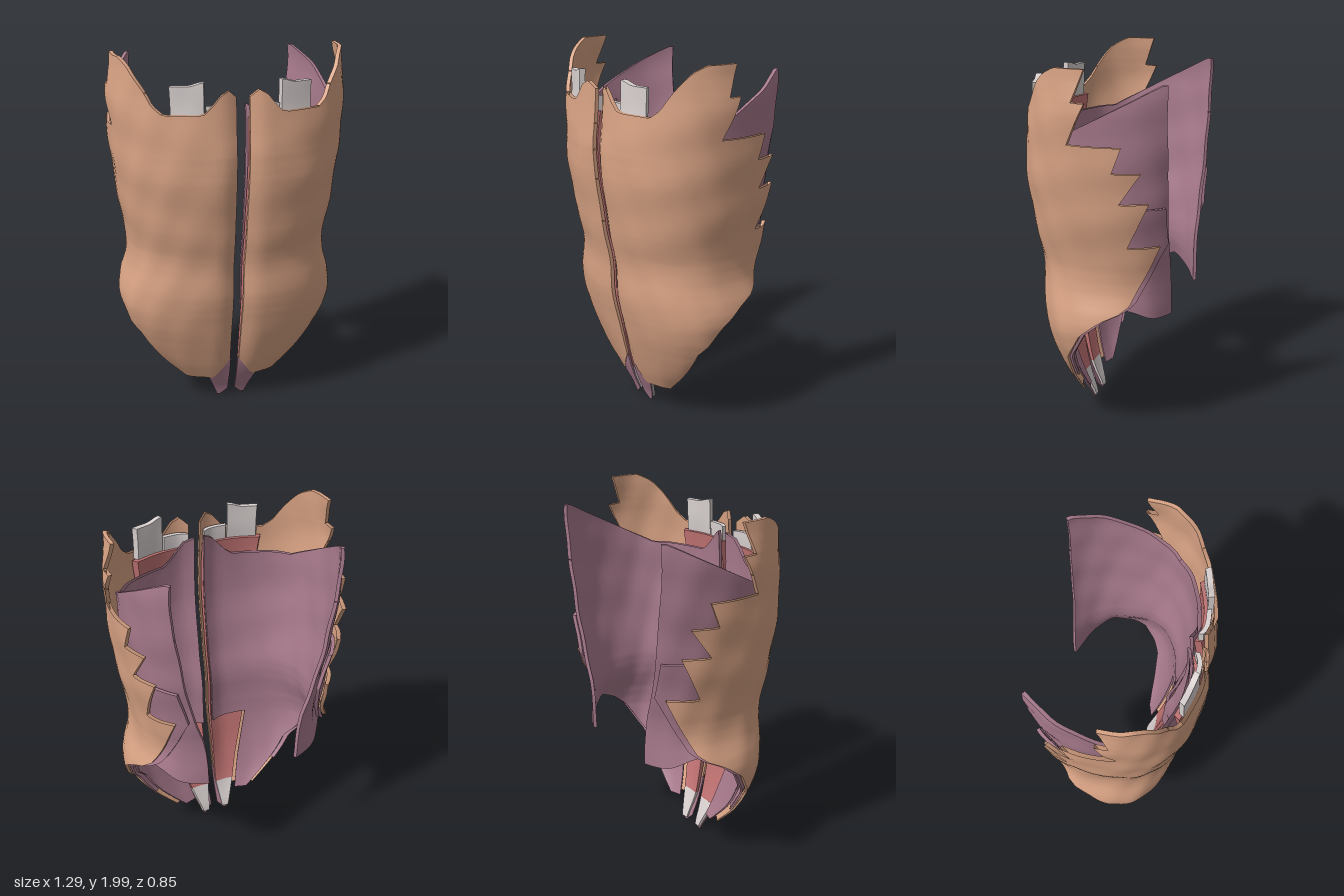
import * as THREE from 'three';
import { toCreasedNormals } from 'three/addons/utils/BufferGeometryUtils.js';

const POWER = 0.83, MID = -0.05; // section roundness and depth of the widest point
const step = THREE.MathUtils.smoothstep;
const mix = THREE.MathUtils.lerp;

// piecewise-linear profile lookup
function look(table, y) {
  if (y <= table[0][0]) return table[0][1];
  for (let i = 1; i < table.length; i++) {
    const [a, va] = table[i - 1], [b, vb] = table[i];
    if (y <= b) return mix(va, vb, (y - a) / (b - a));
  }
  return table[table.length - 1][1];
}
const soft = (table, y) => (look(table, y - 0.06) + look(table, y) + look(table, y + 0.06)) / 3;

// torso profile by height: front depth and half width
const FRONT = [[0, 0.1], [0.3, 0.23], [0.65, 0.33], [0.9, 0.34], [1.1, 0.385], [1.45, 0.433], [1.7, 0.41], [2, 0.395]];
const WIDTH = [[0, 0.2], [0.3, 0.45], [0.45, 0.56], [0.68, 0.61], [0.9, 0.535], [1.3, 0.605], [1.7, 0.638], [1.85, 0.638], [2, 0.61]];

// horizontal section of a layer, inset by f at the front and d at the side
function section(y, f, d) {
  const fade = Math.min(1, 0.35 + 0.93 * y);
  return {
    a: soft(FRONT, y) - MID - f * fade,
    w: soft(WIDTH, y) - d * fade,
    b: mix(0.375, 0.55, step(y, 0.6, 2)) + 0.055 - d,
  };
}
// section angle at which a given x (front side) or z is reached
const atX = (s, x) => Math.asin(Math.min(1, x / s.w) ** (1 / POWER));
function atZ(s, z) {
  const k = z - MID, r = Math.min(1, Math.abs(k) / (k > 0 ? s.a : s.b)) ** (1 / POWER);
  return Math.acos(k > 0 ? r : -r);
}

// curved sheet with thickness: rows by height, columns by angle, trimmed to its edges
function sheet({ y0, y1, front, side, thick, start, end, cols = 40, keys = [], warp = () => 0 }, sign) {
  const levels = [y1, ...keys];
  for (let y = y0; y < y1; y += 0.02) levels.push(y);
  const rows = [...new Set(levels)].sort((a, b) => a - b).map(y => {
    const s = section(y, front, side), t0 = start(s, y);
    return { y, t0, t1: Math.max(t0 + 0.002, end(s, y)) };
  });
  const low = Math.min(...rows.map(r => r.t0)), high = Math.max(...rows.map(r => r.t1));
  const angle = (r, j) => j === 0 ? r.t0 : j === cols ? r.t1 : Math.min(r.t1, Math.max(r.t0, mix(low, high, j / cols)));
  const pos = [], idx = [], n = cols + 1, layer = rows.length * n;
  for (const h of [0, thick]) {
    for (const r of rows) {
      const y = r.y, s = section(y, front + h, side + h);
      for (let j = 0; j < n; j++) {
        const t = angle(r, j), c = Math.cos(t);
        const ripple = 1 + 0.009 * Math.sin(y * 17 + t * 6) * Math.sin(y * 5 - t * 9);
        const x = s.w * Math.sin(t) ** POWER * ripple;
        let z = MID + (c > 0 ? s.a : -s.b) * Math.abs(c) ** POWER * ripple;
        z -= 0.035 * Math.exp(-(((x - 0.02) / 0.05) ** 2)) * step(y, 0.1, 0.5);
        pos.push(sign * x, y + warp(x, y, z), z);
      }
    }
  }
  const tri = (a, b, c) => sign > 0 ? idx.push(a, b, c) : idx.push(a, c, b);
  const quad = (a, b, c, e) => { tri(a, b, c); tri(a, c, e); };
  for (let i = 0; i < rows.length - 1; i++) {
    const l = i * n, r = l + cols, jump = rows[i + 1].y - rows[i].y < 0.006;
    for (let j = 0; j < cols; j++) { // outer and inner faces, left open where an edge jumps
      const flat = k => angle(rows[k], j + 1) - angle(rows[k], j) < 1e-6;
      if (flat(i) && flat(i + 1) || jump && (flat(i) || flat(i + 1))) continue;
      const a = l + j;
      quad(a, a + 1, a + n + 1, a + n);
      quad(a + layer, a + n + layer, a + n + 1 + layer, a + 1 + layer);
    }
    if (jump) continue;
    quad(l, l + n, l + n + layer, l + layer); // side rims
    quad(r, r + layer, r + n + layer, r + n);
  }
  for (let j = 0; j < cols; j++) { // bottom and top rims
    const t = layer - n + j;
    quad(j, j + layer, j + 1 + layer, j + 1);
    quad(t, t + 1, t + 1 + layer, t + layer);
  }
  const g = new THREE.BufferGeometry();
  g.setAttribute('position', new THREE.Float32BufferAttribute(pos, 3));
  g.setIndex(idx);
  return toCreasedNormals(g, 0.8);
}

// lower flank edge and rib teeth, as height and z
const FLANK = [[0.15, 0.1], [0.45, 0.1], [0.62, 0], [0.7, -0.1], [0.75, -0.2], [0.79, -0.25], [1.1, -0.39]];
const TIPS = [[1.1, -0.38], [1.34, -0.35], [1.5, -0.32], [1.63, -0.23], [1.84, -0.05], [2, -0.04]];
// front edge of the outer muscle, as height and x
const OUTER_FRONT = [[0.15, 0.11], [0.28, 0.025], [1.74, 0.035], [1.743, 0.41], [1.78, 0.455], [1.96, 0.555], [2, 0.59]];

// each tooth runs from a notch just above one tip out to the next tip
function toothedEdge(y) {
  const i = TIPS.findIndex(p => y <= p[0]);
  if (i <= 0) return look(FLANK, y);
  const [ya, za] = TIPS[i - 1], [yb, zb] = TIPS[i];
  const notch = za + (i === 4 ? 0.28 : i === 5 ? 0.07 : 0.14);
  return mix(notch, zb, (y - ya) / (yb - ya));
}

const outerOblique = {
  y0: 0.15, y1: 2, front: 0, side: 0, thick: 0.02,
  keys: TIPS.flatMap(([y]) => y < 2 ? [y, y + 0.003] : []).concat(1.74, 1.743),
  start: (s, y) => atX(s, look(OUTER_FRONT, y)),
  end: (s, y) => atZ(s, toothedEdge(y)),
  // raised inner corner at the top, lower rim dipping toward the middle
  warp: (x, y) => y < 1.742 ? 0.12 * step(y, 1.6, 1.74) * step(x, -0.04, 0.08) * (1 - step(x, 0.08, 0.22)) : 0,
};
const innerOblique = {
  y0: 0.3, y1: 1.3, front: 0.03, side: 0.028, thick: 0.018,
  start: (s, y) => atX(s, mix(0.25, 0.38, step(y, 0.3, 0.6))),
  end: (s, y) => atZ(s, look(FLANK, y) - 0.02),
};
const transverseMuscle = {
  y0: 0.14, y1: 1.92, front: 0.085, side: 0.055, thick: 0.018,
  keys: [0.61, 0.613, 0.75, 0.753, 1.62, 1.623],
  start: (s, y) => y > 1.62 ? atZ(s, mix(0.17, -0.4, (y - 1.62) / 0.3)) : atX(s, y > 0.61 ? 0.03 : 0.1 + 0.25 * y),
  end: (s, y) => atZ(s, y > 0.75 ? -0.4 - 0.02 * step(y, 1, 1.6) : look(FLANK, y) - 0.015),
  // drooping rear corner and raised front top edge
  warp: (x, y, z) => z < 0
    ? -0.08 * step(-z, 0.2, 0.38) * (1 - step(y, 0.74, 1))
    : y <= 1.621 ? 0.15 * step(y, 1.4, 1.62) * (1 - step(x, 0.03, 0.22)) : 0,
};
const strapMuscle = {
  y0: 0.19, y1: 1.7, front: 0.035, side: 0.035, thick: 0.035, cols: 10,
  start: (s, y) => atX(s, 0.025 + 0.01 * y),
  end: (s, y) => atX(s, y < 0.6 ? 0.085 + 0.29 * y : mix(0.26, 0.38, (y - 0.6) / 1.1)),
};
const lowerTendon = {
  y0: 0.03, y1: 0.19, front: 0.035, side: 0.035, thick: 0.035, cols: 6,
  start: (s, y) => atX(s, 0.05 - 0.12 * y),
  end: (s, y) => atX(s, 0.075 + 0.34 * y),
};
const upperOuterTendon = {
  y0: 1.7, y1: 1.88, front: 0.022, side: 0.022, thick: 0.03, cols: 8,
  start: s => atX(s, 0.2),
  end: s => atX(s, 0.365),
  warp: (x, y) => 0.02 * step(y, 1.75, 1.88) * (1 - step(x, 0.2, 0.28)),
};
const upperInnerTendon = {
  y0: 1.7, y1: 1.78, front: 0.03, side: 0.03, thick: 0.025, cols: 8,
  start: s => atX(s, 0.05),
  end: s => atX(s, 0.19),
};
const lowerSheathTip = {
  y0: 0.01, y1: 0.28, front: 0.005, side: 0.005, thick: 0.018, cols: 6,
  start: (s, y) => atX(s, mix(0.06, 0.02, step(y, 0.01, 0.05))),
  end: (s, y) => atX(s, 0.075 + 0.4 * Math.min(y, 0.15) - 0.8 * Math.max(0, y - 0.15)),
};

export function createModel() {
  const model = new THREE.Group();
  const material = color => new THREE.MeshStandardMaterial({ color, side: THREE.DoubleSide });
  const tan = material(0xd9a384), mauve = material(0xa87a8c), red = material(0xc07272), pale = material(0xd9d1d0);
  for (const sign of [1, -1]) {
    const half = new THREE.Group();
    half.name = sign > 0 ? 'leftAbdominalWall' : 'rightAbdominalWall';
    const add = (name, shape, mat) => {
      const mesh = new THREE.Mesh(sheet(shape, sign), mat);
      mesh.name = name;
      half.add(mesh);
    };
    add('outerOblique', outerOblique, tan);
    add('innerOblique', innerOblique, mauve);
    add('transverseMuscle', transverseMuscle, mauve);
    add('strapMuscle', strapMuscle, red);
    add('lowerTendon', lowerTendon, pale);
    add('upperOuterTendon', upperOuterTendon, pale);
    add('upperInnerTendon', upperInnerTendon, pale);
    add('lowerSheathTip', lowerSheathTip, mauve);
    model.add(half);
  }
  return model;
}
